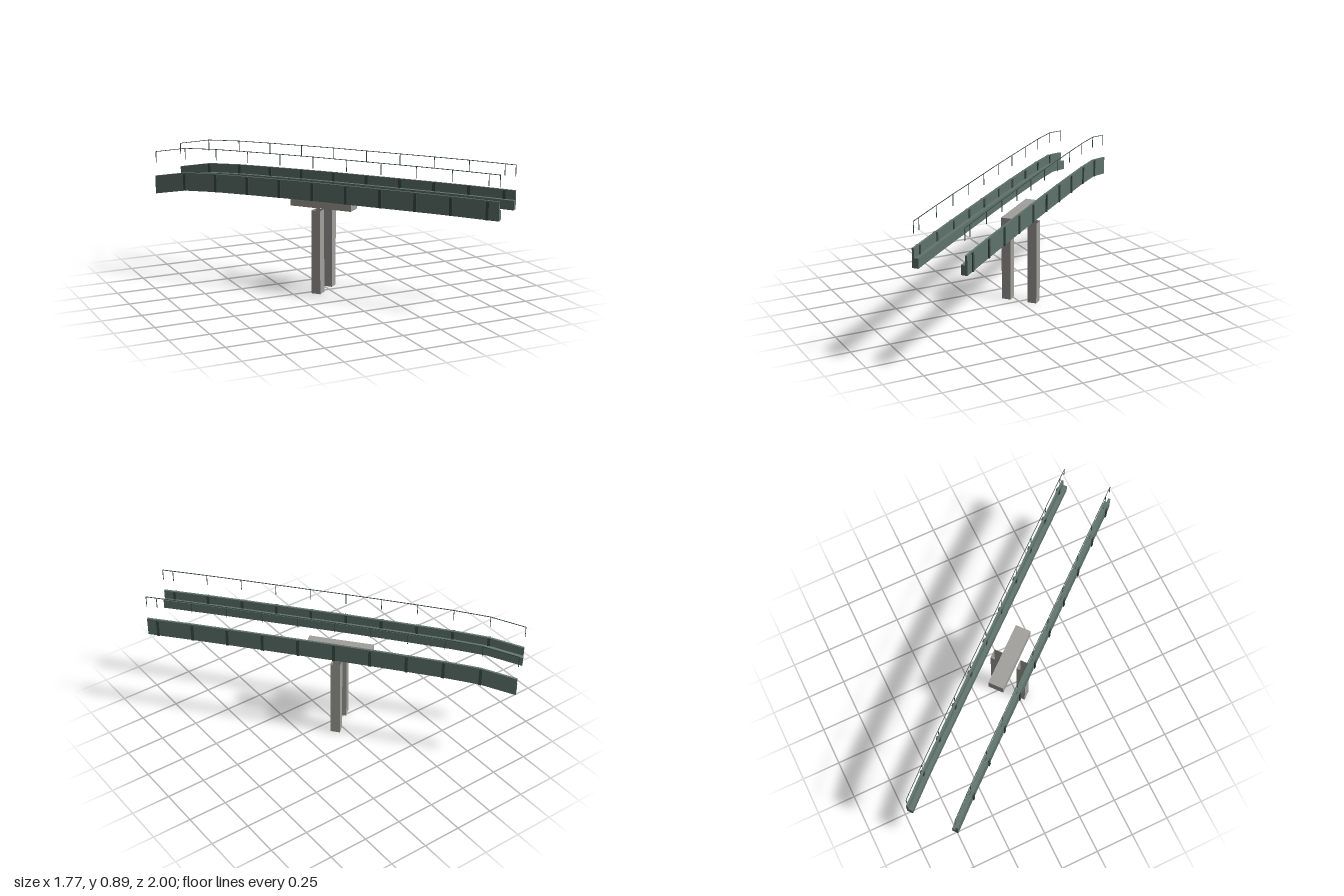
import * as THREE from 'three';

export function createModel() {
  const mat = (name, color) => {
    const m = new THREE.MeshStandardMaterial({ color });
    m.name = name;
    return m;
  };
  const steel = mat('green steel', 0x5f736c);
  const darkSteel = mat('dark green steel', 0x3a4b46);
  const concrete = mat('concrete', 0xa1a09b);
  concrete.side = THREE.DoubleSide;

  const model = new THREE.Group();
  model.name = 'bridgeSpan';

  // The span runs along local x, then is turned to cross the frame diagonally
  const span = new THREE.Group();
  span.name = 'span';
  span.rotation.y = -0.868;
  model.add(span);

  const add = (parent, name, geometry, material, x = 0, y = 0, z = 0) => {
    const mesh = new THREE.Mesh(geometry, material);
    mesh.name = name;
    mesh.position.set(x, y, z);
    parent.add(mesh);
    return mesh;
  };

  // Stations along the span: ten full panels and one short end panel
  const END = 1.167, PANEL = 0.227;
  const drop = [-0.06, -0.02, -0.009, -0.005, -0.002, 0, 0, 0, 0, -0.001, -0.004, -0.005];
  const stations = drop.map((d, i) => ({
    x: THREE.MathUtils.clamp(-1.173 + i * PANEL, -END, END), d,
  }));

  // Strip following the vertical curve from y0 to y1, between offsets z0 and z1
  const strip = (y0, y1, z0, z1) => {
    const top = stations.map(({ x, d }) => new THREE.Vector2(x, y1 + d));
    const bottom = stations.map(({ x, d }) => new THREE.Vector2(x, y0 + d)).reverse();
    const geo = new THREE.ExtrudeGeometry(new THREE.Shape([...bottom, ...top]), {
      depth: z1 - z0, bevelEnabled: false,
    });
    return geo.translate(0, 0, z0);
  };

  // Girder with its railing; side = 1 or -1, offsets grow away from the centre line
  const buildSide = (side) => {
    const g = new THREE.Group();
    g.name = side > 0 ? 'rightGirder' : 'leftGirder';
    g.position.z = side * 0.15;
    span.add(g);
    const sided = (y0, y1, inner, outer) =>
      side > 0 ? strip(y0, y1, inner, outer) : strip(y0, y1, -outer, -inner);

    add(g, 'girderWall', sided(0.615, 0.733, 0.005, 0.019), steel);
    add(g, 'innerLedge', sided(0.615, 0.675, -0.02, 0.005), steel);
    add(g, 'topRail', sided(0.8895, 0.893, 0.004, 0.0075), darkSteel);

    stations.forEach(({ x, d }, i) => {
      const last = i === stations.length - 1;
      const postX = THREE.MathUtils.clamp(x, -END + 0.002, END - 0.002);
      add(g, 'railPost', new THREE.BoxGeometry(0.0035, 0.07, 0.0035), darkSteel,
        postX, 0.854 + d, side * 0.006);
      // Stiffener plates stand proud of the wall on both faces, just below its top edge
      if (i > 0 && !last) {
        add(g, 'stiffener', new THREE.BoxGeometry(0.018, 0.114, 0.025), darkSteel,
          x, 0.673 + d, side * 0.0135);
      }
    });
  };
  buildSide(1);
  buildSide(-1);

  // Pier: cap beam along the span with a square column on each side
  const pier = new THREE.Group();
  pier.name = 'pier';
  pier.position.x = -0.036;
  span.add(pier);
  add(pier, 'capBeam', new THREE.BoxGeometry(0.417, 0.075, 0.1), concrete, 0, 0.5775, 0);
  for (const side of [1, -1]) {
    const r = 0.061 / Math.SQRT2;
    const column = new THREE.CylinderGeometry(r, r, 0.542, 4, 1, true)
      .rotateY(Math.PI / 4).toNonIndexed();
    column.computeVertexNormals();
    add(pier, 'column', column, concrete, 0, 0.271, side * 0.089 + 0.002);
  }

  return model;
}
